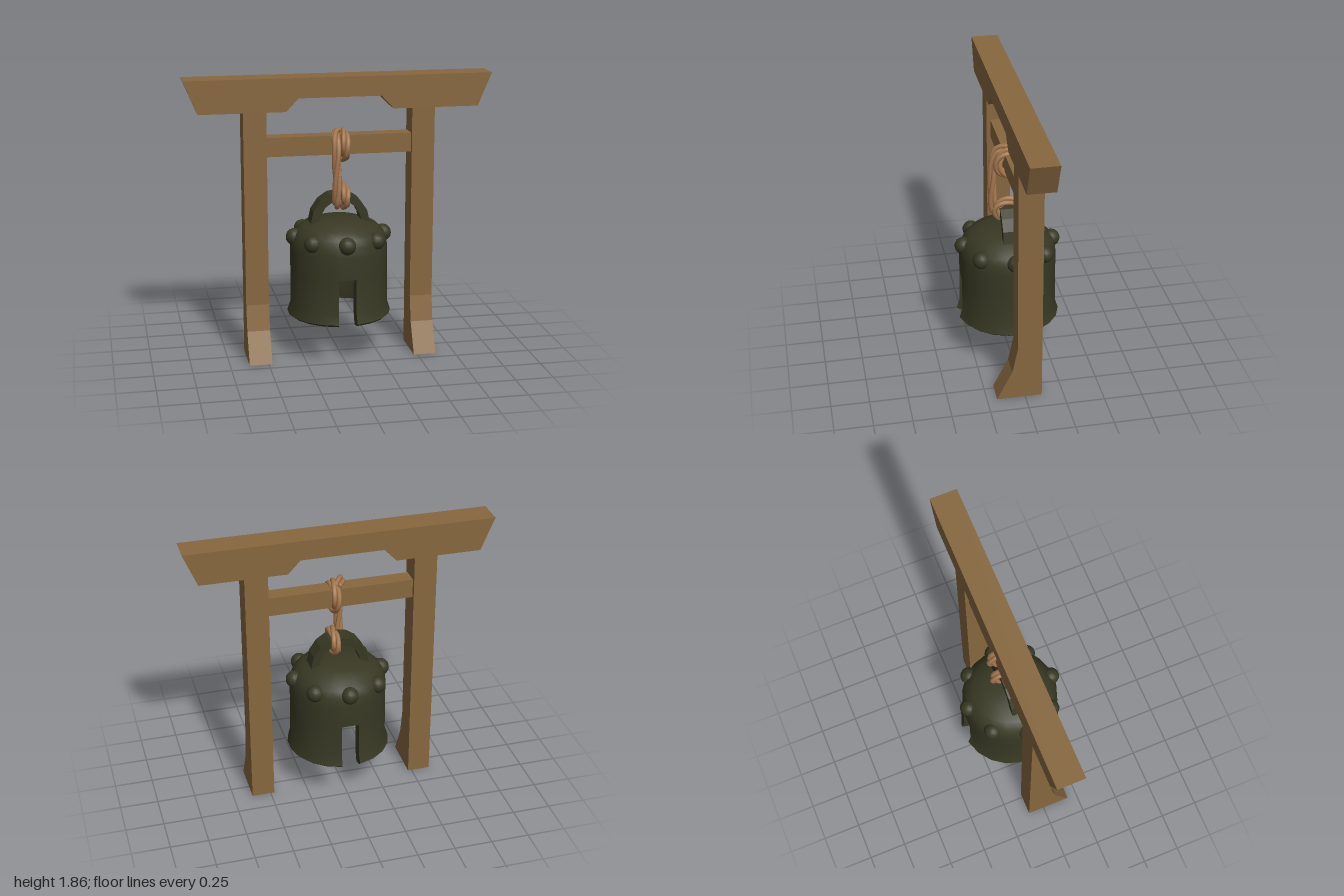
import * as THREE from 'three';
import { mergeGeometries, toCreasedNormals } from 'three/addons/utils/BufferGeometryUtils.js';

const paint = (name, color) => {
  const m = new THREE.MeshStandardMaterial({ color });
  m.name = name;
  return m;
};
const shapeOf = (pts) => new THREE.Shape(pts.map(([x, y]) => new THREE.Vector2(x, y)));
const vecs = (pts) => pts.map(([x, y]) => new THREE.Vector2(x, y));

// Extrude a flat outline between two depths
function slab(pts, z0, z1) {
  const g = new THREE.ExtrudeGeometry(shapeOf(pts), { depth: z1 - z0, bevelEnabled: false });
  return g.translate(0, 0, z0);
}

// Three twisted strands following one path
function ropeGeometry(points, closed, twists, strandRadius = 0.016, spread = 0.0165) {
  const path = new THREE.CatmullRomCurve3(points.map((p) => new THREE.Vector3(...p)), closed);
  const n = 40;
  const frames = path.computeFrenetFrames(n, closed);
  const strands = [];
  for (let k = 0; k < 3; k++) {
    const pts = [];
    for (let i = 0; i < (closed ? n : n + 1); i++) {
      const a = (k / 3 + (twists * i) / n) * Math.PI * 2;
      pts.push(path.getPointAt(i / n)
        .addScaledVector(frames.normals[i], Math.cos(a) * spread)
        .addScaledVector(frames.binormals[i], Math.sin(a) * spread));
    }
    const curve = new THREE.CatmullRomCurve3(pts, closed);
    strands.push(new THREE.TubeGeometry(curve, 48, strandRadius, 7, closed));
    // Round off loose ends
    if (!closed) for (const p of [pts[0], pts[n]]) {
      strands.push(new THREE.SphereGeometry(strandRadius, 7, 5).translate(p.x, p.y, p.z));
    }
  }
  return mergeGeometries(strands);
}

// Points of an upright loop in the y-z plane
function loopPoints(x, y, z, ry, rz, lean) {
  return Array.from({ length: 10 }, (_, i) => {
    const a = (i / 10) * Math.PI * 2;
    return [x + lean * Math.cos(a), y + ry * Math.sin(a), z + rz * Math.cos(a)];
  });
}

// Bell body: full crown above, two half skirts below with a slot front and back
function bellGeometry() {
  const slotTop = 0.585, slot = 0.18;
  const crown = vecs([
    [0, 0.88], [0.16, 0.865], [0.24, 0.81], [0.27, 0.73], [0.27, slotTop],
    [0.32, slotTop], [0.32, 0.73], [0.314, 0.79], [0.294, 0.84],
    [0.245, 0.885], [0.16, 0.917], [0, 0.93],
  ]);
  const skirtPts = [
    [0.27, slotTop], [0.27, 0.36], [0.285, 0.275], [0.325, 0.275],
    [0.342, 0.29], [0.322, 0.355], [0.32, slotTop],
  ];
  const half = Math.PI - 2 * slot;
  const parts = [];
  for (const turn of [0, Math.PI]) {
    const start = turn + slot, end = turn + Math.PI - slot;
    parts.push(new THREE.LatheGeometry(crown, 9, start, half));
    parts.push(new THREE.LatheGeometry(crown, 1, turn - slot, 2 * slot));
    parts.push(new THREE.LatheGeometry(vecs(skirtPts), 9, start, half));
    // Slot side walls
    parts.push(new THREE.ShapeGeometry(shapeOf(skirtPts)).rotateY(start - Math.PI / 2));
    parts.push(new THREE.ShapeGeometry(shapeOf(skirtPts.map(([r, y]) => [-r, y])))
      .rotateY(end + Math.PI / 2));
  }
  return toCreasedNormals(mergeGeometries(parts), 0.6);
}

export function createModel() {
  const model = new THREE.Group();
  model.name = 'hangingBell';
  const wood = paint('wood', 0x87673f);
  const bronze = paint('darkBronze', 0x383824);
  const hemp = paint('rope', 0xa5784f);

  const add = (parent, name, geometry, material) => {
    const mesh = new THREE.Mesh(geometry, material);
    mesh.name = name;
    parent.add(mesh);
    return mesh;
  };

  // Wooden frame
  const frame = new THREE.Group();
  frame.name = 'frame';
  model.add(frame);

  const beam = [
    [-0.91, 1.645], [-0.35, 1.645], [-0.27, 1.73], [0.27, 1.73],
    [0.35, 1.645], [0.91, 1.645], [1, 1.86], [-1, 1.86],
  ];
  add(frame, 'topBeam', slab(beam, -0.12, 0.06), wood);

  // Posts: side profile with a foot sweeping forward
  const post = [
    [-0.185, 0], [0.11, 0], [0.11, 1.645], [-0.05, 1.645], [-0.05, 0.37], [-0.085, 0.2],
  ];
  for (const [side, x] of [['left', 0.55], ['right', -0.55]]) {
    const g = slab(post, -0.075, 0.075).rotateY(Math.PI / 2);
    add(frame, side + 'Post', g, wood).position.x = x;
  }

  const bar = new THREE.BoxGeometry(0.96, 0.125, 0.11);
  add(frame, 'crossbar', bar, wood).position.set(0, 1.412, -0.03);

  // Bell
  const bell = new THREE.Group();
  bell.name = 'bell';
  model.add(bell);
  add(bell, 'bellBody', bellGeometry(), bronze);

  // Ring of round studs
  const stud = new THREE.SphereGeometry(0.057, 14, 10);
  for (let i = 0; i < 8; i++) {
    const a = (i * Math.PI) / 4;
    add(bell, 'stud', stud, bronze)
      .position.set(0.295 * Math.sin(a), 0.807, 0.295 * Math.cos(a));
  }

  // Arched handle
  const outer = [[0.2, 0.88], [0.178, 0.98], [0.13, 1.05], [0.07, 1.09]];
  const inner = [[0.06, 1.035], [0.1, 1.005], [0.13, 0.95], [0.145, 0.88]];
  const flip = (list) => list.map(([x, y]) => [-x, y]).reverse();
  const arch = [...outer, [0, 1.1], ...flip(outer), ...flip(inner), [0, 1.05], ...inner];
  add(bell, 'handle', slab(arch, -0.06, 0.06), bronze);

  // Rope: a loop on the crossbar, a loop on the handle and the hanging length between
  const rope = new THREE.Group();
  rope.name = 'rope';
  model.add(rope);
  add(rope, 'upperLoop', ropeGeometry(loopPoints(0.035, 1.402, -0.022, 0.083, 0.092, 0), true, 1), hemp);
  add(rope, 'lowerLoop', ropeGeometry(loopPoints(0.035, 1.068, -0.008, 0.064, 0.088, 0), true, 1), hemp);
  add(rope, 'hangingRope', ropeGeometry([
    [0.015, 1.485, -0.06], [-0.02, 1.487, 0.01], [-0.032, 1.465, 0.06], [-0.032, 1.4, 0.09],
    [-0.03, 1.25, 0.094], [-0.028, 1.1, 0.092], [-0.026, 1.035, 0.075], [-0.01, 1.015, 0.03],
    [0.015, 1.01, -0.03],
  ], false, 1), hemp);

  return model;
}
